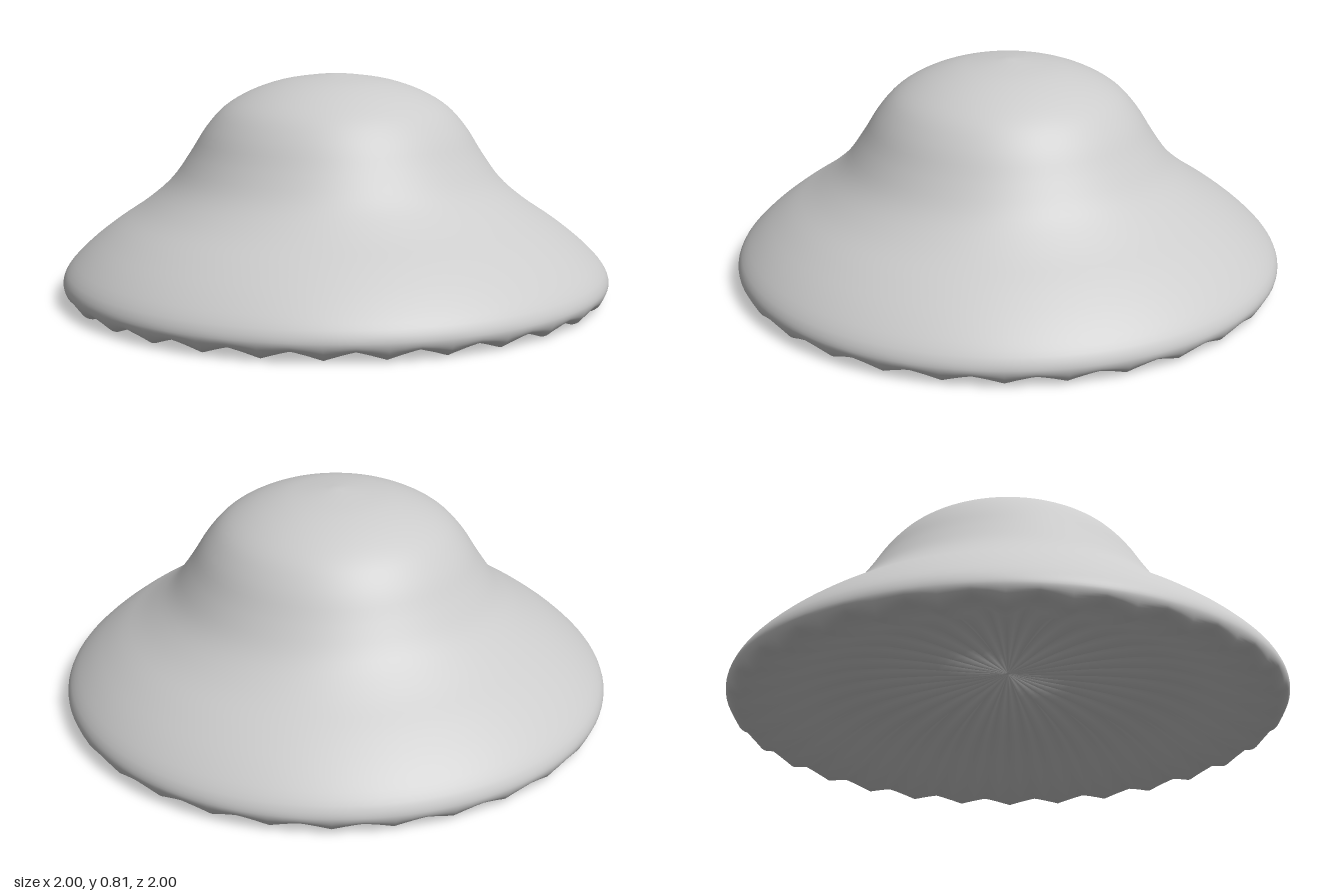
import * as THREE from 'three';
import { mergeVertices } from 'three/addons/utils/BufferGeometryUtils.js';

const RIBS = 30;
const SEGMENTS = RIBS * 4;

// Closed profile from the underside centre, round the lip, up to the crown.
// Each point is radius, height and rib depth.
const PROFILE = [
  [0, 0.19, 0], [0.06, 0.19, 0.006], [0.15, 0.189, 0.013], [0.3, 0.185, 0.018],
  [0.45, 0.172, 0.02], [0.58, 0.15, 0.02], [0.68, 0.118, 0.02], [0.78, 0.073, 0.019],
  [0.87, 0.036, 0.018], [0.945, 0.018, 0.017], [0.975, 0.025, 0.011], [0.993, 0.042, 0.003],
  [1, 0.068, 0], [0.985, 0.108, 0], [0.92, 0.178, 0], [0.82, 0.258, 0],
  [0.7, 0.34, 0], [0.605, 0.423, 0], [0.535, 0.52, 0], [0.475, 0.615, 0],
  [0.41, 0.687, 0], [0.32, 0.742, 0], [0.21, 0.781, 0], [0.1, 0.8, 0], [0, 0.81, 0],
];

function createCapGeometry() {
  const curve = new THREE.CatmullRomCurve3(PROFILE.map((p) => new THREE.Vector3(...p)));
  const samples = curve.getPoints(96);
  const outline = samples.map((p) => new THREE.Vector2(Math.max(0, p.x), p.y));
  const lathe = new THREE.LatheGeometry(outline, SEGMENTS);

  // Radial ribs: raise and lower the underside around the axis
  const pos = lathe.attributes.position;
  for (let i = 0; i < pos.count; i++) {
    const column = Math.floor(i / samples.length);
    const depth = samples[i % samples.length].z;
    const wave = Math.cos((RIBS * column * 2 * Math.PI) / SEGMENTS);
    pos.setY(i, Math.max(0, pos.getY(i) + depth * wave));
  }

  // Weld the seam and poles so the shading is continuous
  lathe.deleteAttribute('uv');
  lathe.deleteAttribute('normal');
  const geometry = mergeVertices(lathe, 1e-5);
  geometry.computeVertexNormals();
  return geometry;
}

export function createModel() {
  const group = new THREE.Group();
  group.name = 'ribbedCap';
  const material = new THREE.MeshStandardMaterial({ color: 0xcccccc });
  const cap = new THREE.Mesh(createCapGeometry(), material);
  cap.name = 'cap';
  group.add(cap);
  return group;
}
